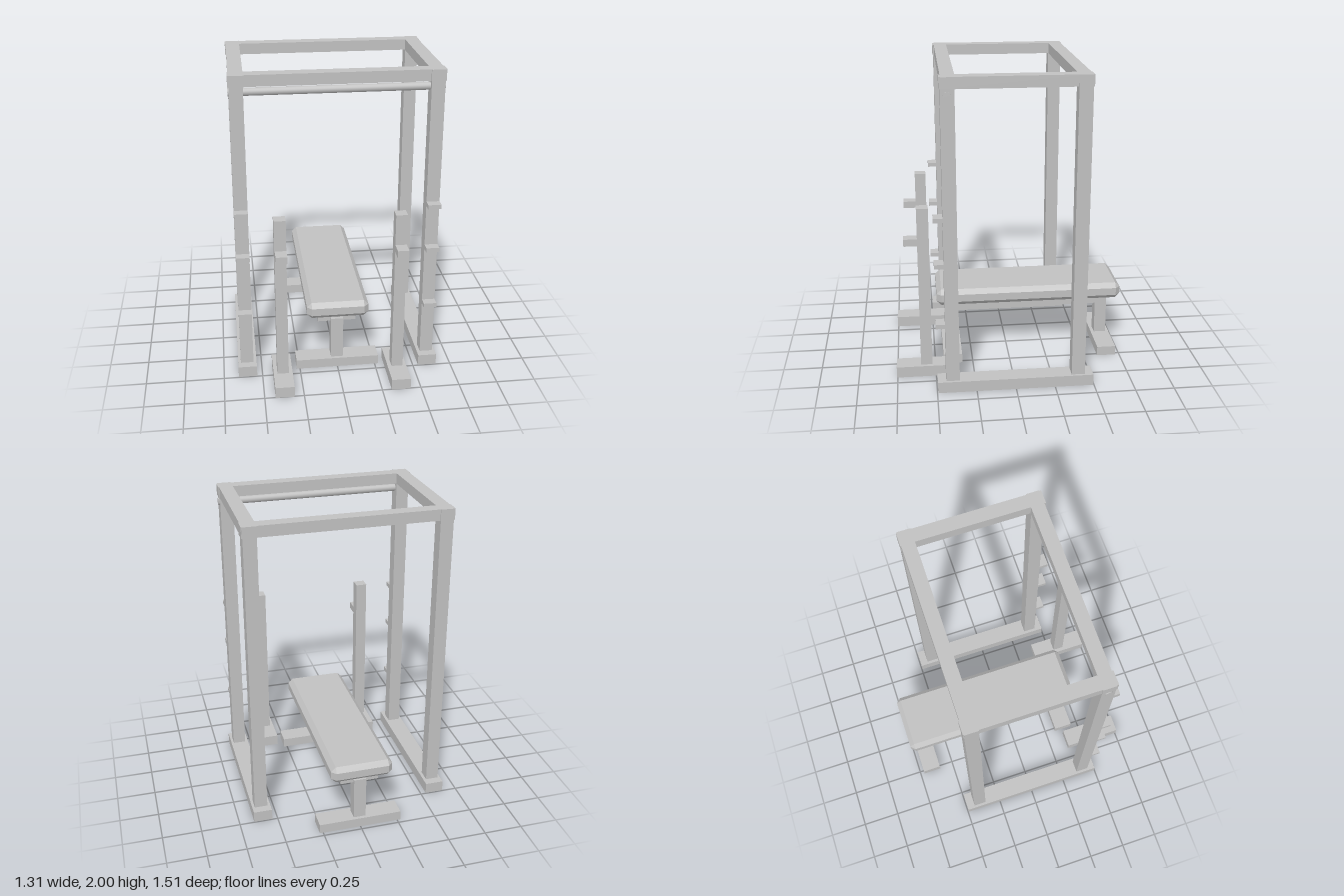
import * as THREE from 'three';
import { ConvexGeometry } from 'three/addons/geometries/ConvexGeometry.js';

export function createModel() {
  const model = new THREE.Group();
  model.name = 'powerRackWithBench';
  const grey = new THREE.MeshStandardMaterial({ color: 0xc0c0c0 });
  grey.name = 'grey';

  const add = (parent, name, geometry) => {
    const mesh = new THREE.Mesh(geometry, grey);
    mesh.name = name;
    parent.add(mesh);
    return mesh;
  };

  // Box given by its limits along each axis
  const box = (parent, name, [x0, x1], [y0, y1], [z0, z1]) =>
    add(parent, name, new THREE.BoxGeometry(x1 - x0, y1 - y0, z1 - z0))
      .position.set((x0 + x1) / 2, (y0 + y1) / 2, (z0 + z1) / 2);

  // Box with every edge and corner cut at 45 degrees
  const chamferedBox = (w, h, d, c) => {
    const points = [];
    for (const x of [-1, 1]) for (const y of [-1, 1]) for (const z of [-1, 1]) {
      const half = [x * w / 2, y * h / 2, z * d / 2];
      const inner = [x * (w / 2 - c), y * (h / 2 - c), z * (d / 2 - c)];
      for (let axis = 0; axis < 3; axis++) {
        points.push(new THREE.Vector3(...inner.map((v, i) => (i === axis ? half[i] : v))));
      }
    }
    return new ConvexGeometry(points);
  };

  const group = (name) => {
    const g = new THREE.Group();
    g.name = name;
    model.add(g);
    return g;
  };

  const cage = group('cage');
  const rack = group('barRack');
  const bench = group('bench');

  for (const [side, s] of [['left', 1], ['right', -1]]) {
    const mirrored = (a, b) => (s > 0 ? [a, b] : [-b, -a]);
    const postX = mirrored(0.555, 0.638);

    // Cage side: floor rail, two posts, top rail
    box(cage, side + 'FloorRail', mirrored(0.535, 0.655), [0, 0.073], [-0.495, 0.495]);
    box(cage, side + 'FrontPost', postX, [0.07, 1.96], [0.357, 0.442]);
    box(cage, side + 'BackPost', postX, [0.07, 1.96], [-0.442, -0.357]);
    box(cage, side + 'TopRail', mirrored(0.552, 0.64), [1.93, 2], [-0.447, 0.447]);

    // Pegs on the front post
    for (const y of [0.452, 0.85, 1.145]) {
      box(cage, side + 'Peg', postX, [y - 0.014, y + 0.014], [0.43, 0.5]);
    }

    // Free-standing bar upright
    box(rack, side + 'UprightFoot', mirrored(0.31, 0.432), [0, 0.073], [0.37, 0.755]);
    box(rack, side + 'Upright', mirrored(0.335, 0.408), [0.07, 1.145], [0.523, 0.597]);
    box(rack, side + 'BarHook', mirrored(0.335, 0.406), [0.9, 0.946], [0.59, 0.682]);
  }

  // Cross beams at the top and the pull-up bar
  box(cage, 'frontBeam', [-0.645, 0.645], [1.93, 2], [0.353, 0.437]);
  box(cage, 'backBeam', [-0.645, 0.645], [1.93, 2], [-0.441, -0.357]);
  const bar = add(cage, 'pullUpBar', new THREE.CylinderGeometry(0.024, 0.024, 1.29, 16));
  bar.rotation.z = Math.PI / 2;
  bar.position.set(0, 1.892, 0.4);

  // Bench pad and its support
  add(bench, 'pad', chamferedBox(0.4, 0.11, 1.236, 0.03)).position.set(0, 0.437, -0.139);
  box(bench, 'padSupport', [-0.125, 0.125], [0.325, 0.39], [-0.68, 0.4]);
  for (const [name, z] of [['front', 0.383], ['back', -0.66]]) {
    box(bench, name + 'Leg', [-0.04, 0.04], [0.06, 0.35], [z - 0.04, z + 0.04]);
    box(bench, name + 'Foot', [-0.272, 0.272], [0, 0.063], [z - 0.062, z + 0.062]);
  }

  return model;
}
